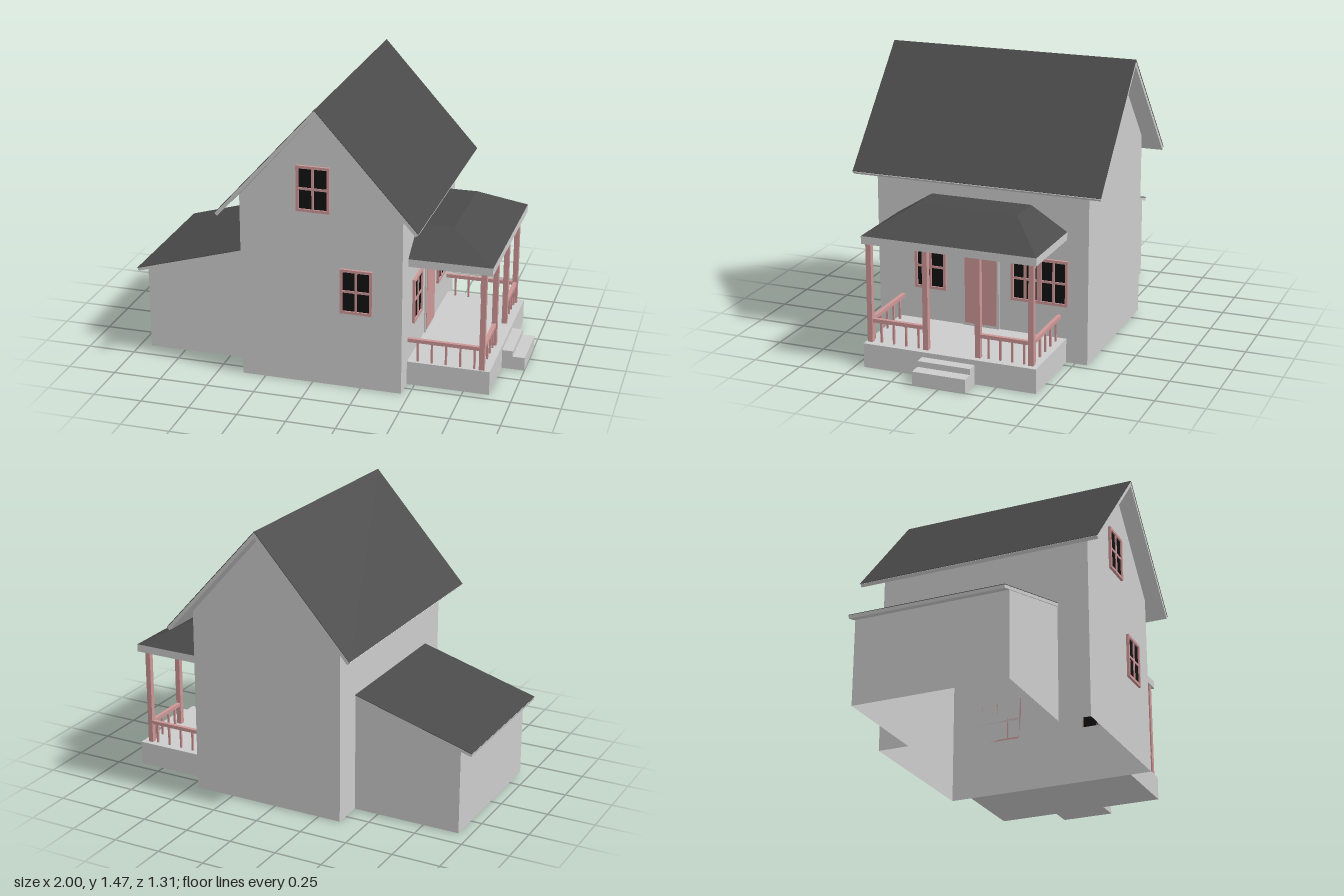
import * as THREE from 'three';

const mat = (color, side = THREE.FrontSide) => new THREE.MeshStandardMaterial({ color, side });
const GREY = mat(0xcccccc);
const WALL = mat(0xcccccc, THREE.DoubleSide);
const DARK = mat(0x4a4a4a, THREE.DoubleSide);
const RED = mat(0xcc9696);
const GLASS = mat(0x111111);

function add(parent, name, geometry, material) {
  const mesh = new THREE.Mesh(geometry, material);
  mesh.name = name;
  parent.add(mesh);
  return mesh;
}

// Box given by its min and max corners
function box(parent, name, [x0, y0, z0], [x1, y1, z1], material) {
  const g = new THREE.BoxGeometry(x1 - x0, y1 - y0, z1 - z0);
  g.translate((x0 + x1) / 2, (y0 + y1) / 2, (z0 + z1) / 2);
  return add(parent, name, g, material);
}

const shapeOf = (pts) => new THREE.Shape(pts.map(([x, y]) => new THREE.Vector2(x, y)));

// Thin flat wall, seen from both sides
function panel(parent, name, pts, position, turn = 0, hole = null) {
  const s = shapeOf(pts);
  if (hole) s.holes.push(shapeOf(hole));
  const m = add(parent, name, new THREE.ShapeGeometry(s), WALL);
  m.position.set(...position);
  m.rotation.y = turn;
  return m;
}

// Sloped slab along z: its upper line from a to b, with vertical thickness t
function slab(parent, name, a, b, t, half, material) {
  const d = new THREE.Vector2(b[0] - a[0], b[1] - a[1]).normalize();
  // ridge end is cut plumb, eave end is cut square
  const n = [d.y * t * Math.abs(d.x), -d.x * t * Math.abs(d.x)];
  const k = d.x > 0 ? 1 : -1;
  const pts = [a, b, [b[0] + n[0] * k, b[1] + n[1] * k], [a[0], a[1] - t]];
  const g = new THREE.ExtrudeGeometry(shapeOf(pts), { depth: 2 * half, bevelEnabled: false });
  g.translate(0, 0, -half);
  return add(parent, name, g, material);
}

// Window facing +z, centred on x, standing on y = 0; each sash has 2 x 2 panes
function makeWindow(name, w, h, sashes = 1) {
  const g = new THREE.Group();
  g.name = name;
  const f = 0.014, m = 0.006, d = 0.014;
  box(g, 'glass', [-w / 2 + f / 2, f / 2, 0], [w / 2 - f / 2, h - f / 2, 0.006], GLASS);
  for (const s of [-1, 1]) {
    const x = s * (w / 2 - f / 2);
    box(g, 'windowJamb', [x - f / 2, 0, 0], [x + f / 2, h, d], RED);
    const y = h / 2 + s * (h / 2 - f / 2);
    box(g, 'windowSill', [-w / 2 + f, y - f / 2, 0], [w / 2 - f, y + f / 2, d], RED);
  }
  box(g, 'crossBar', [-w / 2 + f, h / 2 - m, 0], [w / 2 - f, h / 2 + m, 0.011], RED);
  for (let i = 1; i < sashes * 2; i++) {
    const x = -w / 2 + (w * i) / (sashes * 2);
    const half = i % 2 ? m : f;
    box(g, 'uprightBar', [x - half, f, 0], [x + half, h - f, 0.012], RED);
  }
  return g;
}

export function createModel() {
  const house = new THREE.Group();
  house.name = 'house';

  // Main body
  const L = -0.37, R = 0.46, RIDGE = 0.045, Z = 0.564, EAVE = 0.97;
  const gable = [[L, 0], [R, 0], [R, EAVE], [RIDGE, 1.435], [L, EAVE]];
  panel(house, 'frontGableWall', gable, [0, 0, Z]);
  panel(house, 'backGableWall', gable, [0, 0, -Z], 0);
  const side = [[-Z, 0], [Z, 0], [Z, EAVE], [-Z, EAVE]];
  panel(house, 'porchSideWall', side, [R, 0, 0], Math.PI / 2);
  // Wall towards the lean-to, open where the two rooms join
  const openWall = [[-Z, 0], [-0.4, 0], [-0.4, 0.6], [0.4, 0.6], [0.4, 0], [Z, 0], [Z, EAVE], [-Z, EAVE]];
  panel(house, 'leanToSideWall', openWall, [L, 0, 0], -Math.PI / 2);

  // Main roof: grey boards under a dark covering
  for (const s of [-1, 1]) {
    const eave = [RIDGE + s * 0.513, 0.894];
    slab(house, 'roofBoards', [RIDGE, 1.463], eave, 0.028, 0.653, GREY);
    slab(house, 'roofCovering', [RIDGE, 1.467], [eave[0], eave[1] + 0.004], 0.004, 0.655, DARK);
  }

  // Lean-to
  const leanX = -0.94, leanZ = 0.4;
  for (const s of [-1, 1]) {
    panel(house, 'leanToEndWall', [[leanX, 0], [L, 0], [L, 0.602], [leanX, 0.438]], [0, 0, s * leanZ]);
  }
  panel(house, 'leanToOuterWall', [[-leanZ, 0], [leanZ, 0], [leanZ, 0.438], [-leanZ, 0.438]], [leanX, 0, 0], -Math.PI / 2);
  slab(house, 'leanToBoards', [L, 0.62], [-1, 0.438], 0.017, 0.403, GREY);
  slab(house, 'leanToCovering', [L, 0.623], [-1, 0.441], 0.003, 0.404, DARK);
  slab(house, 'leanToCeiling', [L, 0.603], [leanX + 0.002, 0.438], 0.003, 0.398, DARK);

  // Windows
  const place = (w, x, y, z, turn) => {
    w.position.set(x, y, z);
    w.rotation.y = turn;
    house.add(w);
  };
  place(makeWindow('upperWindow', 0.17, 0.235), 0.01, 0.92, Z, 0);
  place(makeWindow('lowerWindow', 0.165, 0.235), 0.228, 0.405, Z, 0);
  place(makeWindow('porchWindow', 0.17, 0.235), R, 0.295, 0.275, Math.PI / 2);
  place(makeWindow('doublePorchWindow', 0.3, 0.235, 2), R, 0.295, -0.312, Math.PI / 2);

  // Door
  box(house, 'doorFrame', [R, 0.125, -0.096], [R + 0.008, 0.525, 0.098], GREY);
  box(house, 'door', [R, 0.14, -0.085], [R + 0.011, 0.515, 0.087], RED);

  // Porch deck and steps
  const P = 0.453, OUT = 0.882;
  box(house, 'porchDeck', [R, 0, -P], [OUT, 0.125, P], GREY);
  box(house, 'upperStep', [OUT, 0, -0.138], [0.937, 0.1, 0.138], GREY);
  box(house, 'lowerStep', [0.937, 0, -0.138], [1, 0.07, 0.138], GREY);

  // Porch roof: fascia with a hipped, flat-topped covering
  box(house, 'porchFascia', [R, 0.64, -P], [OUT, 0.68, P], GREY);
  const low = [[R, 0.68, P], [OUT, 0.68, P], [OUT, 0.68, -P], [R, 0.68, -P]];
  const high = [[R, 0.797, 0.265], [0.645, 0.797, 0.265], [0.645, 0.797, -0.265], [R, 0.797, -0.265]];
  const tri = [];
  const quad = (a, b, c, d) => tri.push(...a, ...b, ...c, ...a, ...c, ...d);
  for (let i = 0; i < 3; i++) quad(low[i], low[i + 1], high[i + 1], high[i]);
  quad(...high);
  const hip = new THREE.BufferGeometry();
  hip.setAttribute('position', new THREE.Float32BufferAttribute(tri, 3));
  hip.computeVertexNormals();
  add(house, 'porchRoof', hip, DARK);

  // Posts
  const postX = 0.838, h = 0.0135, postZ = [0.432, 0.133, -0.141, -0.415];
  for (const z of postZ) {
    box(house, 'porchPost', [postX - h, 0.125, z - h], [postX + h, 0.64, z + h], RED);
  }

  // Railings with balusters
  const baluster = (x, z) => box(house, 'baluster', [x - 0.005, 0.125, z - 0.005], [x + 0.005, 0.23, z + 0.005], RED);
  for (const [a, b] of [[postZ[0], postZ[1]], [postZ[2], postZ[3]]]) {
    box(house, 'frontRail', [postX - 0.01, 0.228, b], [postX + 0.01, 0.247, a], RED);
    for (let i = 1; i <= 4; i++) baluster(postX, a + (b - a) * (i / 4.5 - 0.03));
  }
  for (const z of [postZ[0], postZ[3]]) {
    box(house, 'sideRail', [R, 0.228, z - 0.01], [postX, 0.247, z + 0.01], RED);
    for (let i = 0; i < 5; i++) baluster(0.51 + i * 0.0725, z);
  }

  return house;
}
